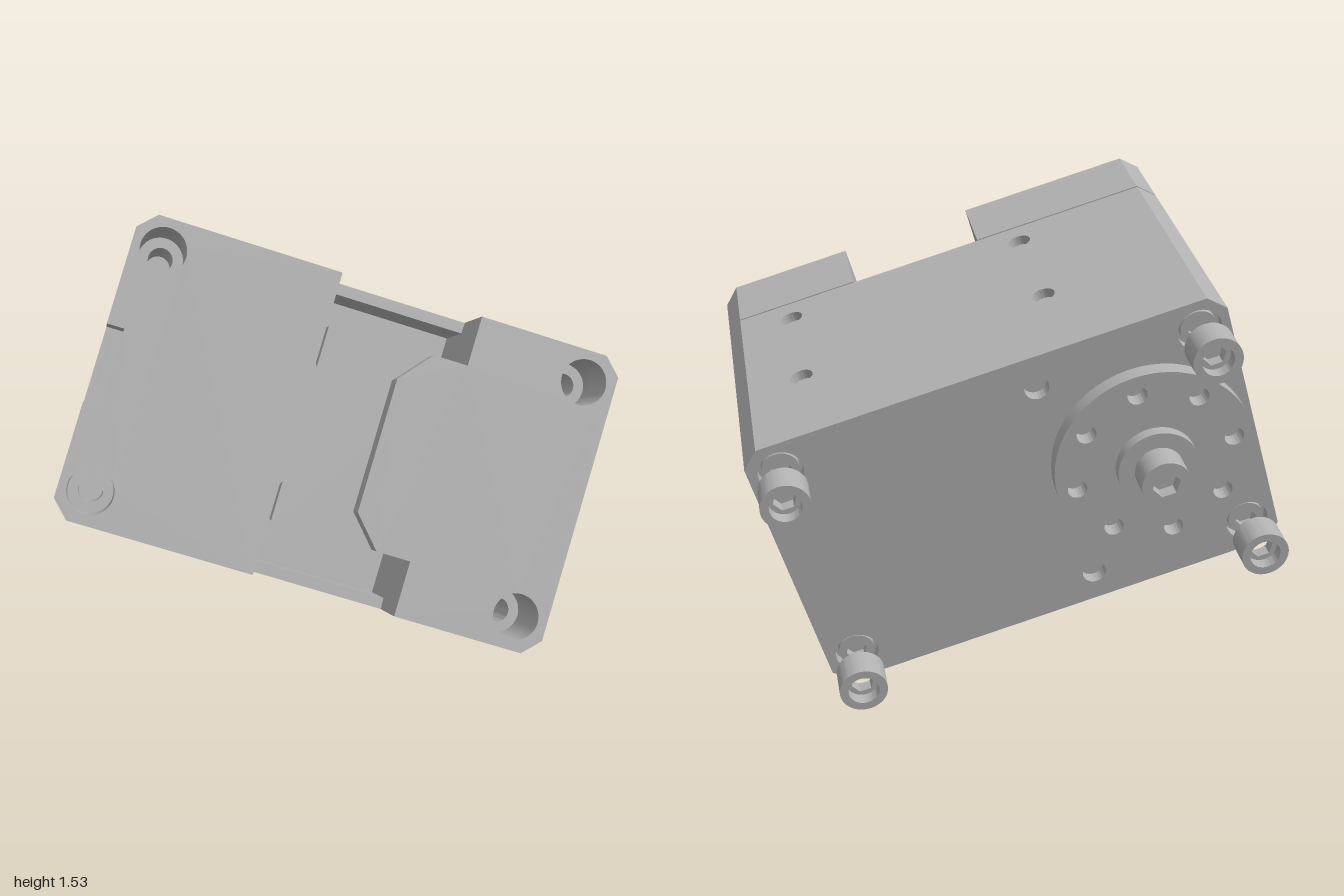
import * as THREE from 'three';
import { toCreasedNormals } from 'three/addons/utils/BufferGeometryUtils.js';

const X0 = -0.95, X1 = 0.478, Y0 = 0.25, Y1 = 1.13;   // case outline
const BACK = -0.225, SEAM = 0.567, FRONT = 0.805;     // depth levels
const C = 0.05, T = 0.03;                             // corner chamfer, side panel thickness
const SLOT0 = -0.365, SLOT1 = 0.05;                   // slot between the front pads
const CY = 0.69, HORN = -0.635;                       // output axis
const CORNERS = [[-0.86, 0.345], [0.385, 0.345], [-0.86, 1.038], [0.385, 1.038]];

export function createModel() {
  const grey = new THREE.MeshStandardMaterial({ color: 0xb0b0b0 });
  grey.name = 'machined grey';
  const model = new THREE.Group();
  const servo = new THREE.Group();
  servo.name = 'servo';
  servo.rotation.set(0, THREE.MathUtils.degToRad(-43), THREE.MathUtils.degToRad(-25), 'ZYX');
  model.add(servo);

  const poly = pts => new THREE.Shape(pts.map(p => new THREE.Vector2(...p)));
  const rect = (a0, b0, a1, b1) => poly([[a0, b0], [a1, b0], [a1, b1], [a0, b1]]);
  const circle = (x, y, r) => new THREE.Shape().absarc(x, y, r, 0, Math.PI * 2, false);
  const hexagon = (x, y, r) => poly(Array.from({ length: 6 }, (_, i) =>
    [x + r * Math.cos(i * Math.PI / 3), y + r * Math.sin(i * Math.PI / 3)]));
  const pierce = (shape, holes) => { shape.holes.push(...holes); return shape; };

  const extrude = (shape, depth) => toCreasedNormals(
    new THREE.ExtrudeGeometry(shape, { depth, bevelEnabled: false, curveSegments: 28 }), 0.6);
  const add = (name, geometry) => {
    const mesh = new THREE.Mesh(geometry, grey);
    mesh.name = name;
    servo.add(mesh);
    return mesh;
  };
  // Slab between two depth levels
  const slab = (name, shape, z0, z1) => add(name, extrude(shape, z1 - z0).translate(0, 0, z0));

  const caseOutline = () => poly([[X0 + C, Y0], [X1 - C, Y0], [X1, Y0 + C], [X1, Y1 - C],
    [X1 - C, Y1], [X0 + C, Y1], [X0, Y1 - C], [X0, Y0 + C]]);
  // Same outline with the flats recessed to take the drilled side panels
  const coreOutline = () => poly([
    [X0 + C, Y0], [X0 + C, Y0 + T], [X1 - C, Y0 + T], [X1 - C, Y0],
    [X1, Y0 + C], [X1 - T, Y0 + C], [X1 - T, Y1 - C], [X1, Y1 - C],
    [X1 - C, Y1], [X1 - C, Y1 - T], [X0 + C, Y1 - T], [X0 + C, Y1],
    [X0, Y1 - C], [X0 + T, Y1 - C], [X0 + T, Y0 + C], [X0, Y0 + C]]);

  // Main case: drilled back plate, solid core, hollow front section
  const backZ = BACK + 0.04, cavityZ = 0.35;
  slab('backPlate', pierce(caseOutline(), [
    ...CORNERS.map(([x, y]) => circle(x, y, 0.065)),
    circle(-0.372, 0.345, 0.036), circle(-0.372, 1.03, 0.036)]), BACK, backZ);
  slab('caseCore', coreOutline(), backZ, cavityZ);
  slab('caseFront', pierce(coreOutline(), [
    rect(SLOT0, Y0 + T + 0.003, SLOT1, Y1 - T - 0.003),
    ...CORNERS.map(([x, y]) => circle(x, y, 0.036))]), cavityZ, SEAM);

  // Side panels with screw holes
  const topHoles = [-0.485, 0.265].flatMap(x => [0.095, 0.47].map(z => [x, z]));
  const rightHoles = [0.435, 0.935].flatMap(y => [0.12, 0.494].map(z => [z, y]));
  const leftHoles = [0.45, 0.93].map(y => [0.17, y]);
  const drill = list => list.map(([a, b]) => circle(a, b, 0.035));
  const flip = (list, i) => list.map(p => p.map((v, k) => (k === i ? -v : v)));

  add('topPanel', extrude(pierce(rect(X0 + C, -SEAM, X1 - C, -backZ), drill(flip(topHoles, 1))), T)
    .rotateX(-Math.PI / 2).translate(0, Y1 - T, 0));
  add('bottomPanel', extrude(pierce(rect(X0 + C, backZ, X1 - C, SEAM), drill(topHoles)), T)
    .rotateX(Math.PI / 2).translate(0, Y0 + T, 0));
  add('rightPanel', extrude(pierce(rect(-SEAM, Y0 + C, -backZ, Y1 - C), drill(flip(rightHoles, 0))), T)
    .rotateY(Math.PI / 2).translate(X1 - T, 0, 0));
  add('leftPanel', extrude(pierce(rect(backZ, Y0 + C, SEAM, Y1 - C), drill(leftHoles)), T)
    .rotateY(-Math.PI / 2).translate(X0 + T, 0, 0));

  // Front pads, with a notch in the outer one and a stepped tongue on the inner one
  const bores = side => CORNERS.filter(([x]) => x * side > 0).map(([x, y]) => circle(x, y, 0.066));
  const leftPad = (d, notch) => pierce(poly([
    [X0 + C, Y0 + d], [SLOT0, Y0 + d], [SLOT0, Y1 - d], [X0 + C, Y1 - d], [X0 + d, Y1 - C],
    ...(notch ? [[X0, 0.8], [X0 + 0.05, 0.8], [X0 + 0.05, 0.575], [X0, 0.575]] : []),
    [X0 + d, Y0 + C]]), bores(-1));
  const rightPad = (d, tongue) => pierce(poly([
    [SLOT1, Y0 + d], [X1 - C, Y0 + d], [X1 - d, Y0 + C], [X1 - d, Y1 - C],
    [X1 - C, Y1 - d], [SLOT1, Y1 - d],
    ...(tongue ? [[SLOT1, 0.985], [-0.05, 0.985], [-0.132, 0.89], [-0.132, 0.5],
      [-0.05, 0.41], [SLOT1, 0.41]] : [])]), bores(1));
  const padZ = SEAM + 0.007, stepZ = 0.718, notchZ = FRONT - 0.12;
  slab('leftSeam', leftPad(0.012, false), SEAM, padZ);
  slab('rightSeam', rightPad(0.012, false), SEAM, padZ);
  slab('leftPad', leftPad(0, false), padZ, notchZ);
  slab('leftPadFront', leftPad(0, true), notchZ, FRONT);
  slab('rightPad', rightPad(0, false), padZ, stepZ);
  slab('rightPadFront', rightPad(0, true), stepZ, FRONT);
  slab('centreBlock', rect(-0.35, 0.41, SLOT1, 0.985), cavityZ, stepZ);

  // Thin disc edge showing beyond the left pad
  const half = Math.asin(0.176 / 0.322);
  const rim = new THREE.Shape().absarc(HORN, CY, 0.322, -half, half, false);
  slab('idlerDiscEdge', rim, FRONT - 0.03, FRONT);

  // Output horn, hub and centre screw
  const hornHoles = Array.from({ length: 8 }, (_, i) => circle(
    HORN + 0.24 * Math.cos(i * Math.PI / 4), CY + 0.24 * Math.sin(i * Math.PI / 4), 0.029));
  slab('hornDisc', pierce(circle(HORN, CY, 0.3), hornHoles), BACK - 0.05, BACK);
  slab('hornHub', circle(HORN, CY, 0.12), BACK - 0.085, BACK - 0.05);
  slab('centreScrew', circle(HORN, CY, 0.072), BACK - 0.13, BACK - 0.085);
  slab('centreScrewSocket', pierce(circle(HORN, CY, 0.072), [hexagon(HORN, CY, 0.042)]),
    BACK - 0.17, BACK - 0.13);

  // Recessed hex screws and the loose collars hovering behind them
  for (const [x, y] of CORNERS) {
    slab('recessedScrew', pierce(circle(x, y, 0.054), [hexagon(x, y, 0.032)]), BACK + 0.012, backZ);
    slab('collar', pierce(circle(x, y, 0.071), [circle(x, y, 0.046)]), -0.408, -0.315);
    slab('collarWeb', pierce(circle(x, y, 0.05), [hexagon(x, y, 0.034)]), -0.37, -0.335);
  }
  return model;
}
